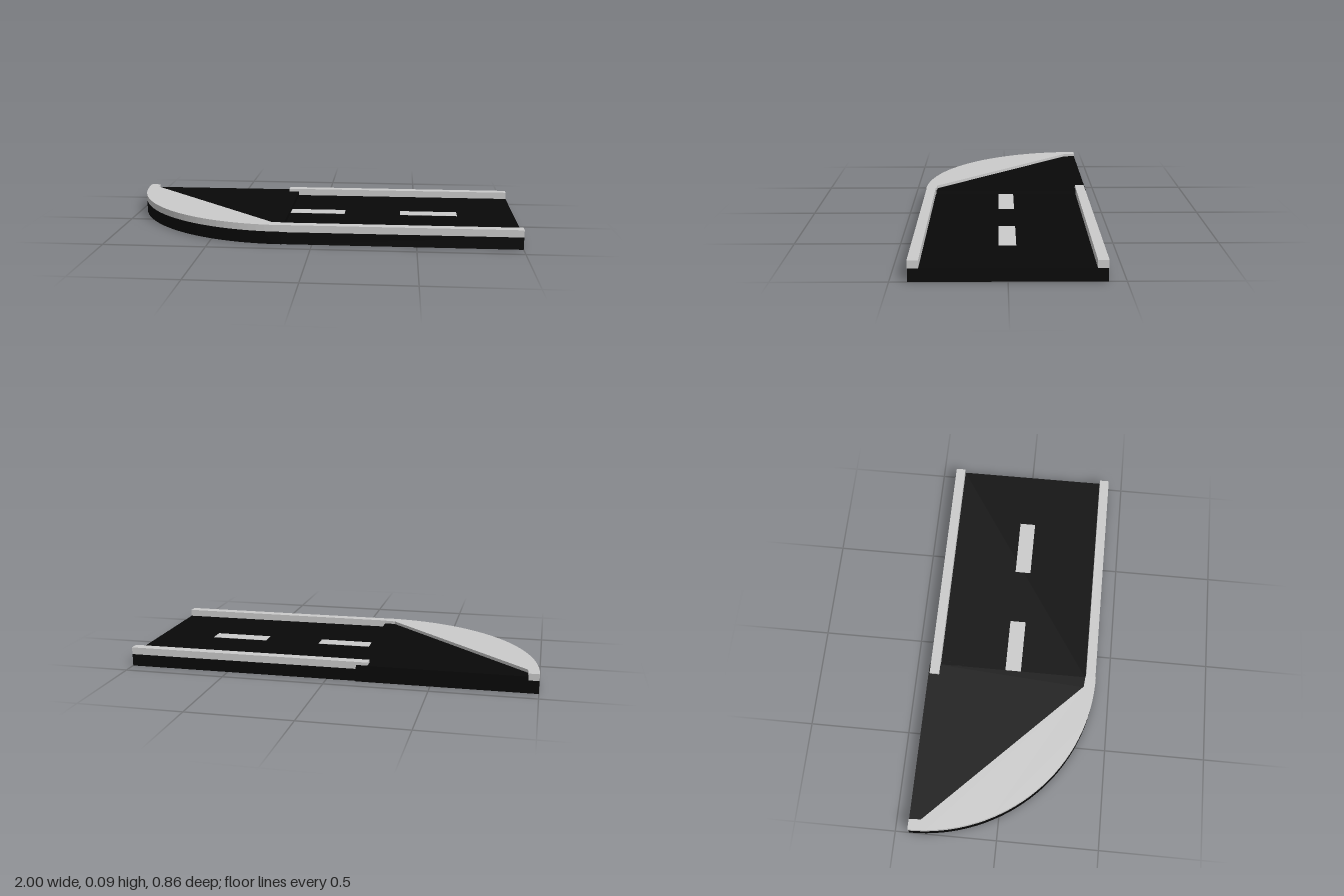
import * as THREE from 'three';

const asphalt = new THREE.MeshStandardMaterial({ color: 0x080808 });
const concrete = new THREE.MeshStandardMaterial({ color: 0xcccccc });

// Join between the straight deck and the rounded end, and the arc's radius
const JOIN = -0.145, BACK = -0.43, R = 0.855;

export function createModel() {
  const model = new THREE.Group();

  const add = (name, geometry, material) => {
    const mesh = new THREE.Mesh(geometry, material);
    mesh.name = name;
    model.add(mesh);
  };

  // Box given by its extents on each axis
  const box = (name, material, x0, x1, y0, y1, z0, z1) => {
    const g = new THREE.BoxGeometry(x1 - x0, y1 - y0, z1 - z0);
    g.translate((x0 + x1) / 2, (y0 + y1) / 2, (z0 + z1) / 2);
    add(name, g, material);
  };

  // Flat plate from a plan outline of [x, z] points, between two heights
  const plate = (name, material, plan, y0, y1) => {
    const shape = new THREE.Shape(plan.map(([x, z]) => new THREE.Vector2(x, -z)));
    const g = new THREE.ExtrudeGeometry(shape, { depth: y1 - y0, bevelEnabled: false });
    g.rotateX(-Math.PI / 2);
    g.translate(0, y0, 0);
    add(name, g, material);
  };

  // Quarter circle from the back corner round to the front edge
  const arc = [];
  for (let i = 0; i <= 32; i++) {
    const a = (i / 32) * Math.PI / 2;
    arc.push([JOIN - R * Math.cos(a), BACK + R * Math.sin(a)]);
  }
  const inner = [[JOIN, 0.372], [-0.2, 0.367], [-0.945, -0.37], [-0.95, BACK]];

  // Rounded end: base, raised road surface and pavement
  plate('roundedBase', asphalt, [...arc, [JOIN, BACK]], 0, 0.062);
  plate('roundedRoad', asphalt, [...inner, [JOIN, BACK]], 0.062, 0.08);
  plate('roundedPavement', concrete, [...arc, ...inner], 0.062, 0.095);

  // Straight deck, hollow underneath
  box('roadDeck', asphalt, JOIN, 1, 0.052, 0.06, -0.375, 0.375);
  for (const s of [-1, 1]) {
    box('sideSkirt', asphalt, JOIN, 1, 0, 0.06, s < 0 ? -0.422 : 0.41, s < 0 ? -0.41 : 0.422);
  }
  box('endBeam', asphalt, 0.95, 1, 0, 0.06, -0.422, 0.422);
  box('joinBeam', asphalt, JOIN, -0.1, 0, 0.06, -0.422, 0.422);
  box('centreBeam', asphalt, -0.1, 0.95, 0, 0.03, -0.025, 0.025);

  // Kerbs along both sides
  box('frontKerb', concrete, JOIN, 1, 0.06, 0.095, 0.375, 0.423);
  box('backKerb', concrete, -0.2, 1, 0.06, 0.095, -0.423, -0.375);

  // Lane dashes, showing through on the underside
  for (const [x0, x1] of [[JOIN, 0.135], [0.42, 0.71]]) {
    box('laneDash', concrete, x0, x1, 0.051, 0.0615, -0.04, 0.04);
  }
  return model;
}
